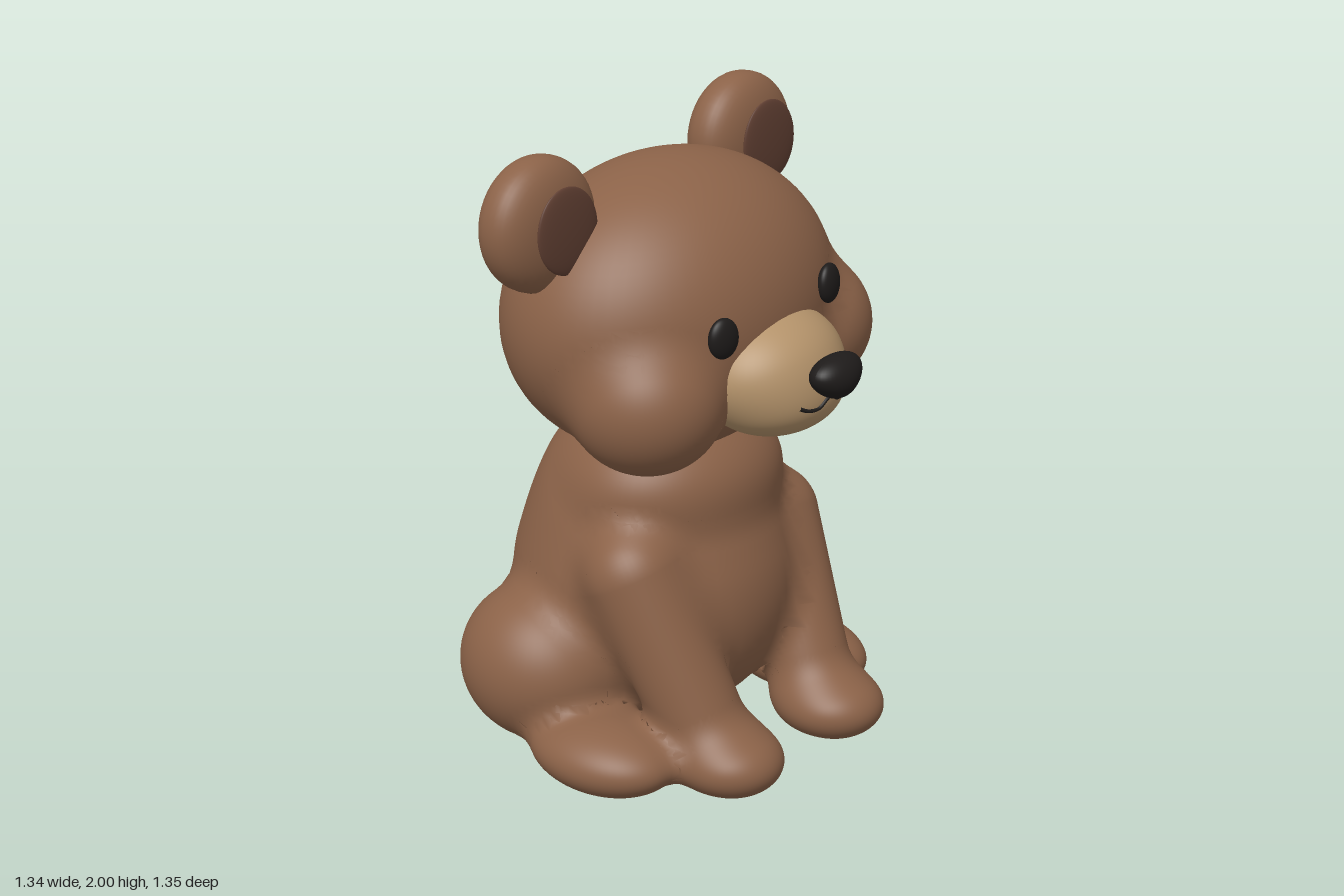
import * as THREE from 'three';

const V = (x, y, z) => new THREE.Vector3(x, y, z);
const mat = (color) => new THREE.MeshStandardMaterial({ color });

// Rounded form: a distance function plus a starting geometry
function ball(name, x, y, z, rx, ry, rz) {
  const geo = new THREE.SphereGeometry(1, 64, 48).scale(rx, ry, rz).translate(x, y, z);
  const dist = (p) => {
    const a = (p.x - x) / rx, b = (p.y - y) / ry, c = (p.z - z) / rz;
    const k0 = Math.hypot(a, b, c), k1 = Math.hypot(a / rx, b / ry, c / rz);
    return k1 < 1e-6 ? -Math.min(rx, ry, rz) : (k0 * (k0 - 1)) / k1;
  };
  return { name, geo, dist };
}

function limb(name, a, b, ra, rb) {
  const axis = b.clone().sub(a), len = axis.length(), mid = a.clone().lerp(b, 0.5);
  const q = new THREE.Quaternion().setFromUnitVectors(V(0, 1, 0), axis.clone().normalize());
  const geo = new THREE.CapsuleGeometry(Math.min(ra, rb), len, 16, 48, 32)
    .applyQuaternion(q).translate(mid.x, mid.y, mid.z);
  const dist = (p) => {
    const d = p.clone().sub(a);
    const t = THREE.MathUtils.clamp(d.dot(axis) / (len * len), 0, 1);
    return d.addScaledVector(axis, -t).length() - THREE.MathUtils.lerp(ra, rb, t);
  };
  return { name, geo, dist };
}

// Smooth union of several forms
const union = (forms, k) => (p) => forms.reduce((d, f) => {
  const e = f.dist(p), h = Math.max(k - Math.abs(d - e), 0) / k;
  return Math.min(d, e) - h * h * k * 0.25;
}, 1e3);

function gradient(f, p) {
  const e = 0.002, g = V(0, 0, 0);
  for (const c of ['x', 'y', 'z']) {
    const hi = p.clone(), lo = p.clone();
    hi[c] += e;
    lo[c] -= e;
    g[c] = f(hi) - f(lo);
  }
  return g.normalize();
}

// Draws every form out to the shared blended skin, so joints become fillets;
// points that cannot reach it nearby stay buried inside
function addSkin(group, forms, k, material) {
  const field = union(forms, k);
  for (const f of forms) {
    const pos = f.geo.attributes.position, nor = f.geo.attributes.normal, start = V(0, 0, 0);
    for (let i = 0; i < pos.count; i++) {
      start.fromBufferAttribute(pos, i);
      const p = start.clone();
      if (field(p) > -k * 0.75) {
        const dir = gradient(f.dist, p);
        for (let s = 0; s < 12; s++) {
          p.addScaledVector(dir, -THREE.MathUtils.clamp(field(p), -0.02, 0.02));
        }
        if (Math.abs(field(p)) > 0.003 || p.distanceTo(start) > k * 1.2) p.copy(start);
      }
      const n = gradient(field, p);
      pos.setXYZ(i, p.x, p.y, p.z);
      nor.setXYZ(i, n.x, n.y, n.z);
    }
    const mesh = new THREE.Mesh(f.geo, material);
    mesh.name = f.name;
    group.add(mesh);
  }
  return field;
}

function ellipsoid(name, material, r, at) {
  const mesh = new THREE.Mesh(new THREE.SphereGeometry(1, 40, 28).scale(...r), material);
  mesh.name = name;
  mesh.position.set(...at);
  return mesh;
}

// Thick round ear with a full rim, lathed about its front-to-back axis
function ear(name, material, radius, depth, at) {
  const profile = [];
  for (let i = 0; i <= 24; i++) {
    const t = (i / 24 - 0.5) * Math.PI;
    const h = Math.sign(t) * Math.abs(Math.sin(t)) ** 0.85;
    profile.push(new THREE.Vector2(radius * Math.abs(Math.cos(t)) ** 0.85, depth * h));
  }
  const mesh = new THREE.Mesh(new THREE.LatheGeometry(profile, 48).rotateX(Math.PI / 2), material);
  mesh.name = name;
  mesh.position.set(...at);
  return mesh;
}

export function createModel() {
  const fur = mat(0x8b6248), tan = mat(0xb3926a), dark = mat(0x1e1b1a), innerFur = mat(0x603f32);
  const model = new THREE.Group();
  model.name = 'sittingBear';

  // Body, legs and tail
  const body = new THREE.Group();
  body.name = 'body';
  body.position.x = 0.029;
  const bodyForms = [
    ball('torso', 0, 0.5, -0.085, 0.44, 0.455, 0.44),
    ball('upperBack', 0, 0.725, -0.085, 0.375, 0.375, 0.36),
    ball('chest', 0, 0.86, 0.01, 0.355, 0.21, 0.285),
  ];
  for (const [side, s] of [['left', 1], ['right', -1]]) {
    bodyForms.push(
      limb(side + 'FrontLeg', V(s * 0.315, 0.64, 0.115), V(s * 0.25, 0.16, 0.35), 0.153, 0.13),
      ball(side + 'FrontPaw', s * 0.245, 0.115, 0.425, 0.158, 0.105, 0.17),
      ball(side + 'Thigh', s * 0.37, 0.285, -0.2, 0.255, 0.25, 0.272),
      ball(side + 'HindFoot', s * 0.46, 0.117, 0.12, 0.18, 0.112, 0.25),
    );
  }
  bodyForms.push(ball('tail', 0, 0.235, -0.54, 0.15, 0.125, 0.138));
  addSkin(body, bodyForms, 0.07, fur);
  model.add(body);

  // Tilted head with cheeks
  const head = new THREE.Group();
  head.name = 'head';
  head.position.set(0.037, 1.05, 0);
  head.rotation.z = 0.115;
  model.add(head);
  addSkin(head, [
    ball('skull', 0, 0.35, 0.003, 0.555, 0.44, 0.44),
    ball('leftCheek', 0.34, 0.203, 0.2, 0.222, 0.215, 0.232),
    ball('rightCheek', -0.34, 0.203, 0.2, 0.222, 0.215, 0.232),
  ], 0.06, fur);

  // Muzzle
  const muzzle = addSkin(head, [
    ball('muzzle', 0, 0.22, 0.36, 0.242, 0.177, 0.215),
    ball('mouthPad', 0, 0.15, 0.42, 0.17, 0.095, 0.15),
  ], 0.08, tan);

  // Nose, narrowing towards the bottom
  const nose = ellipsoid('nose', dark, [0.09, 0.063, 0.062], [0, 0.243, 0.614]);
  const np = nose.geometry.attributes.position;
  for (let i = 0; i < np.count; i++) np.setX(i, np.getX(i) * (1 + 5 * np.getY(i)));
  nose.geometry.computeVertexNormals();
  head.add(nose);

  // Mouth line lying on the muzzle
  const line = [[-0.105, 0.17], [-0.08, 0.156], [-0.045, 0.152], [0, 0.174],
    [0.045, 0.152], [0.08, 0.156], [0.105, 0.17]].map(([x, y]) => {
    const p = V(x, y, 0.75);
    for (let s = 0; s < 40; s++) p.z -= muzzle(p) * 0.8;
    return p;
  });
  const mouth = new THREE.Mesh(
    new THREE.TubeGeometry(new THREE.CatmullRomCurve3(line), 40, 0.006, 8), dark);
  mouth.name = 'mouth';
  head.add(mouth);

  // Eyes and ears
  for (const [side, s] of [['left', 1], ['right', -1]]) {
    const eye = ellipsoid(side + 'Eye', dark, [0.05, 0.06, 0.027], [s * 0.237, 0.4, 0.415]);
    eye.rotation.y = s * 0.2;
    head.add(
      eye,
      ear(side + 'Ear', fur, 0.195, 0.103, [s * 0.437, 0.713, -0.063]),
      ellipsoid(side + 'InnerEar', innerFur, [0.117, 0.125, 0.016], [s * 0.437, 0.713, 0.053]),
    );
  }
  return model;
}
